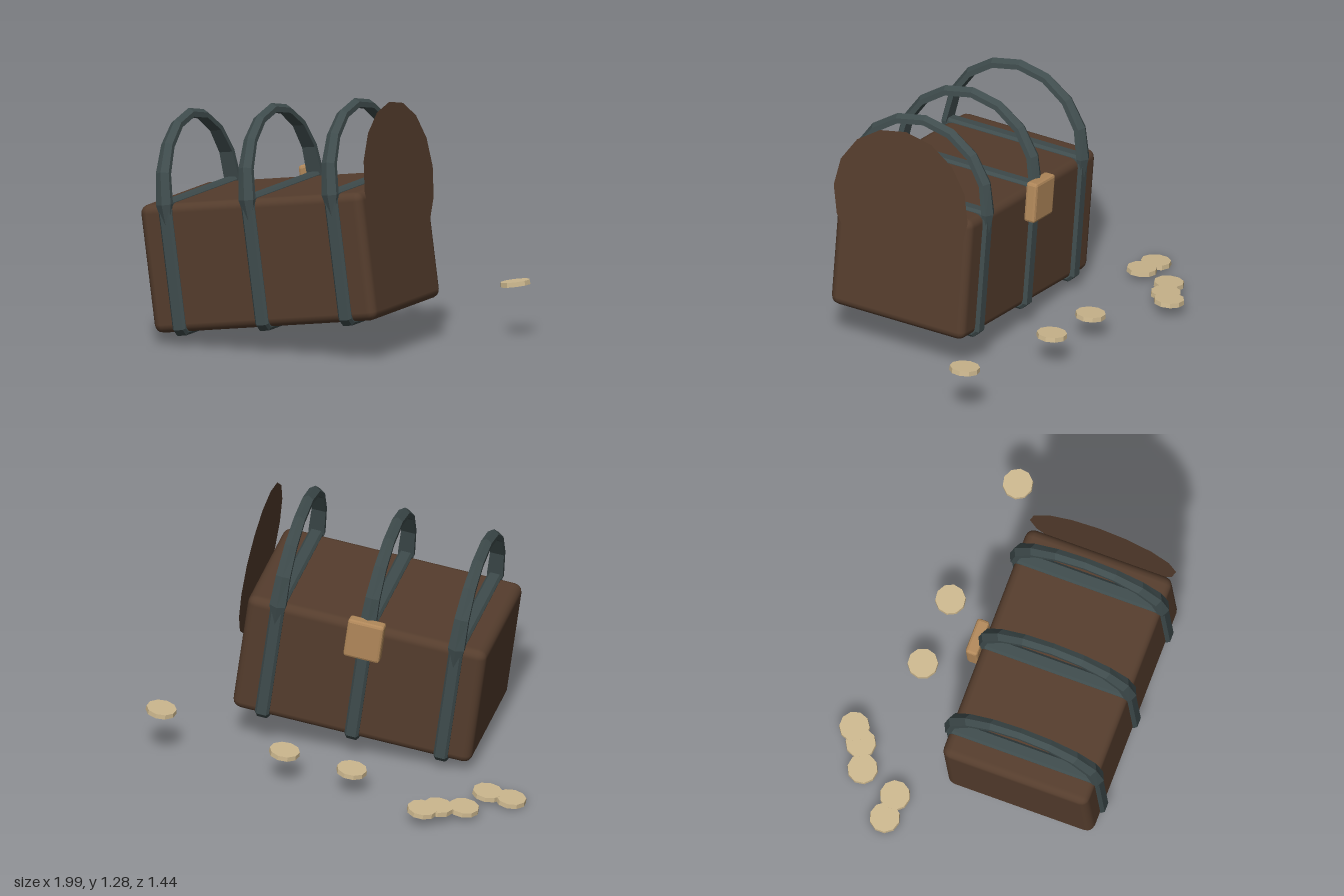
import * as THREE from 'three';
import { RoundedBoxGeometry } from 'three/addons/geometries/RoundedBoxGeometry.js';

const mat = (name, color, opts = {}) => new THREE.MeshStandardMaterial({ name, color, ...opts });

const TILT = THREE.MathUtils.degToRad(7.6);
const W = 1.26, H = 0.66, D = 0.79; // chest body

// Swept arch with a ridged section, tapering to a point at both feet
function hoopGeometry() {
  const base = H / 2, rings = [];
  const ring = (cos, sin, drop, w, rOut, rSide, rIn) =>
    [[0, rOut], [w, rSide], [w, rIn], [-w, rIn], [-w, rSide]]
      .map(([x, r]) => [x, base + r * sin - drop, r * cos]);
  rings.push(ring(1, 0, 0.18, 0.002, 0.402, 0.401, 0.4));
  for (let i = 0; i <= 8; i++) {
    const a = (i / 8) * Math.PI, w = 0.042 - 0.014 * Math.sin(a);
    rings.push(ring(Math.cos(a), Math.sin(a), 0, w, 0.432, 0.412, 0.385));
  }
  rings.push(ring(-1, 0, 0.18, 0.002, 0.402, 0.401, 0.4));
  const pos = [];
  for (let i = 0; i < rings.length - 1; i++) {
    for (let j = 0; j < 5; j++) {
      const k = (j + 1) % 5;
      const a = rings[i][j], b = rings[i][k], c = rings[i + 1][k], d = rings[i + 1][j];
      pos.push(...a, ...b, ...c, ...a, ...c, ...d);
    }
  }
  const g = new THREE.BufferGeometry();
  g.setAttribute('position', new THREE.Float32BufferAttribute(pos, 3));
  g.computeVertexNormals();
  return g;
}

// Band wrapped around the body: chamfered rectangle with bevelled rims
function bandGeometry() {
  const z = D / 2 + 0.005, y = H / 2 + 0.003, c = 0.025;
  const shape = new THREE.Shape([
    [-z + c, -y], [z - c, -y], [z, -y + c], [z, y - c],
    [z - c, y], [-z + c, y], [-z, y - c], [-z, -y + c],
  ].map(([px, py]) => new THREE.Vector2(px, py)));
  const g = new THREE.ExtrudeGeometry(shape, {
    depth: 0.05, bevelEnabled: true, bevelThickness: 0.012, bevelSize: 0.014, bevelSegments: 1,
  });
  g.translate(0, 0, -0.025);
  g.rotateY(Math.PI / 2);
  return g;
}

export function createModel() {
  const brown = mat('brown leather', 0x553d2d);
  const brownThin = mat('brown lid end', 0x553d2d, { side: THREE.DoubleSide });
  const iron = mat('dark iron', 0x3f4c4d, { flatShading: true });
  const brass = mat('brass', 0xb1885a, { flatShading: true });
  const gold = mat('pale gold', 0xccb78e, { flatShading: true });

  const model = new THREE.Group();
  model.name = 'treasureChest';
  const add = (parent, name, geometry, material, x = 0, y = 0, z = 0) => {
    const m = new THREE.Mesh(geometry, material);
    m.name = name;
    m.position.set(x, y, z);
    parent.add(m);
    return m;
  };

  // Tilted chest
  const chest = new THREE.Group();
  chest.name = 'chest';
  chest.position.set(-0.06, 0.472, 0.285);
  chest.rotation.z = TILT;
  model.add(chest);
  add(chest, 'body', new RoundedBoxGeometry(W, H, D, 2, 0.045), brown);

  // Three bands, each with a hoop over the top
  const band = bandGeometry(), hoop = hoopGeometry();
  for (const x of [-0.475, -0.006, 0.466]) {
    add(chest, 'band', band, iron, x);
    add(chest, 'hoop', hoop, iron, x);
  }

  // Thin round lid end, standing just off the right-hand side
  const disc = new THREE.CircleGeometry(0.396, 16);
  disc.rotateY(Math.PI / 2);
  add(chest, 'lidEnd', disc, brownThin, 0.661, 0.336, 0);

  // Lock plate at the back
  add(chest, 'lock', new RoundedBoxGeometry(0.19, 0.215, 0.065, 1, 0.014), brass, -0.006, 0.272, -0.428);

  // Scattered coins, lying on the same slope
  const coin = new THREE.CylinderGeometry(0.077, 0.079, 0.024, 10);
  const spots = [
    [-0.917, -0.34], [-0.793, -0.332], [-0.72, -0.535], [-0.6, -0.59],
    [-0.532, -0.65], [-0.11, -0.44], [0.245, -0.425], [0.917, -0.315],
  ];
  spots.forEach(([x, z], i) => {
    const c = add(model, 'coin', coin, gold, x, 0.16 + 0.139 * x, z);
    c.rotation.set(0, i * 0.7, TILT, 'ZYX');
  });
  return model;
}
